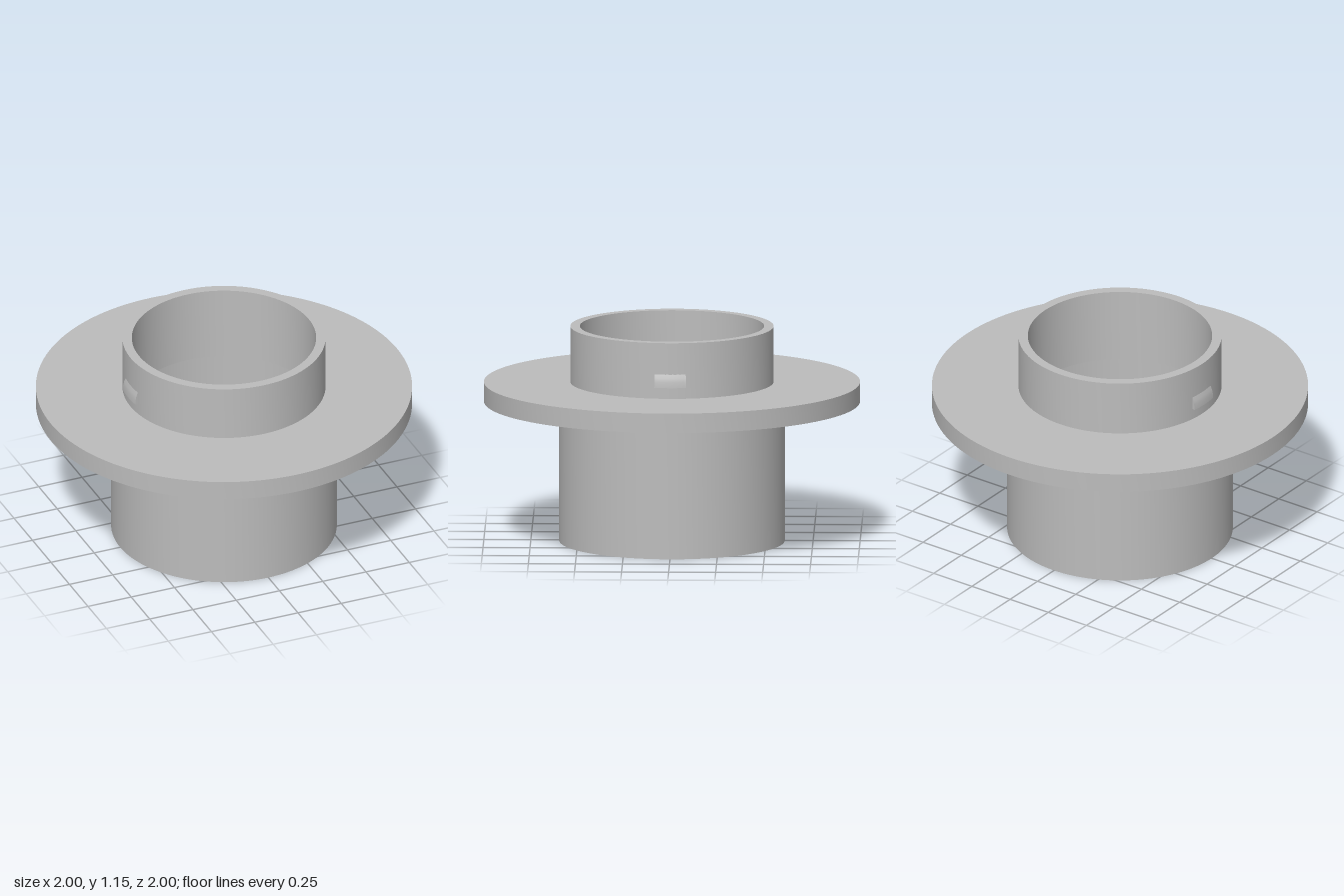
import * as THREE from 'three';
import { toCreasedNormals } from 'three/addons/utils/BufferGeometryUtils.js';

export function createModel() {
  const model = new THREE.Group();
  model.name = 'flangedSleeve';

  const grey = new THREE.MeshStandardMaterial({ color: 0xbcbcbc, side: THREE.DoubleSide });
  grey.name = 'grey';

  const toPoints = (list) => list.map(([r, y]) => new THREE.Vector2(r, y));

  function add(parent, name, geometry) {
    const mesh = new THREE.Mesh(geometry, grey);
    mesh.name = name;
    parent.add(mesh);
    return mesh;
  }

  // Turned part with sharp rims; profile runs up the outside and down the inside
  function turned(profile, segments = 128, start = 0, length = Math.PI * 2) {
    return toCreasedNormals(
      new THREE.LatheGeometry(toPoints(profile), segments, start, length), 0.2);
  }

  // Lower barrel, with an inner recess above its bottom lip
  add(model, 'barrel', turned([
    [0.49, 0.75], [0.55, 0.75], [0.55, 0.05], [0.49, 0.05],
    [0.49, 0], [0.6, 0], [0.6, 0.75],
  ]));

  // Wide flat flange
  add(model, 'flange', turned([[0.6, 0.75], [1, 0.75], [1, 0.855], [0.54, 0.855]]));

  // Thin upper collar, its bore continuing through the flange
  add(model, 'collar', turned([[0.54, 0.855], [0.54, 1.155], [0.49, 1.155], [0.49, 0.75]]));

  // Small curved snap catches on both sides of the collar
  const catchProfile = [[0.535, 0.915], [0.555, 0.915], [0.553, 0.945], [0.548, 0.965], [0.538, 0.99]];
  const halfAngle = 0.153;
  for (const side of [1, -1]) {
    const snap = new THREE.Group();
    snap.name = side > 0 ? 'leftCatch' : 'rightCatch';
    add(snap, 'catchRidge',
      turned(catchProfile, 12, Math.PI / 2 - halfAngle, halfAngle * 2));
    for (const end of [1, -1]) {
      const cap = add(snap, 'catchEnd', new THREE.ShapeGeometry(new THREE.Shape(toPoints(catchProfile))));
      cap.rotation.y = end * halfAngle;
    }
    if (side < 0) snap.rotation.y = Math.PI;
    model.add(snap);
  }

  return model;
}
